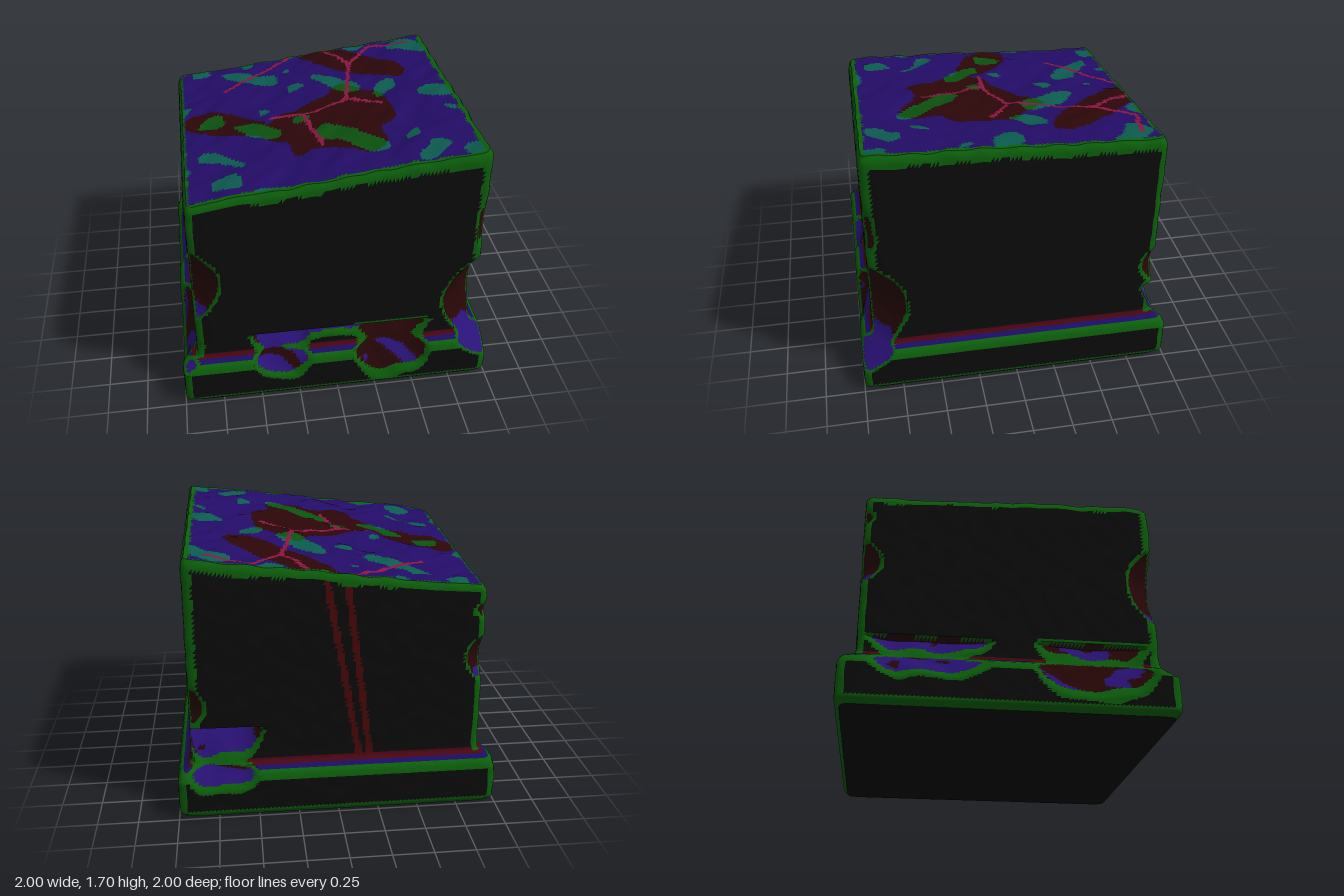
import * as THREE from 'three';
import { mergeVertices, toCreasedNormals } from 'three/addons/utils/BufferGeometryUtils.js';

const N = 80;
const COLORS = {
  wall: 0x0c0c0c, wornEdge: 0x0c600c, coveUpper: 0x4a0612, coveLower: 0x1c0c66,
  chipSlope: 0x2a1278, chipSteep: 0x280607, topStone: 0x230c68, topMoss: 0x0c5c50,
  topDark: 0x2c0609, topGrass: 0x0c5210, cracks: 0x8a1540, backStreaks: 0x4c080a,
};

// Smooth repeatable noise, about -1 to 1
function noise(x, y, z) {
  const a = Math.sin(3.1 * y + 2.3 * z + 0.7), b = Math.sin(2.7 * z - 1.9 * x + 2.1), c = Math.sin(2.9 * x + 1.7 * y + 4.2);
  return (Math.sin(x * 5.1 + 2 * a) + Math.sin(y * 4.7 + 2 * b) + Math.sin(z * 5.3 + 2 * c)) / 3;
}

// Height of the tilted, broken top
function topHeight(x, z) {
  const u = (x + 1) / 2, v = (z + 1) / 2;
  const back = 1.42 + 0.22 * u, front = 1.48 + 0.22 * u;
  return back + (front - back) * v + 0.014 * noise(x * 2, 3, z * 2) + 0.009 * noise(x * 5, 1, z * 5);
}

// Wall profile from ground to top: row fraction, inset, height (height below the top when negative)
const PROFILE = [
  [0, 0.03, 0], [0.04, 0, 0.035], [0.28, 0, 0.25], [0.32, 0.015, 0.29], [0.38, 0.085, 0.335],
  [0.42, 0.09, 0.37], [0.52, 0.09, 0.5], [0.97, 0.09, -0.03], [1, 0.11, -0.0001],
];
function profileAt(t, top) {
  let i = 0;
  while (i < PROFILE.length - 2 && t > PROFILE[i + 1][0]) i++;
  const a = PROFILE[i], b = PROFILE[i + 1], k = (t - a[0]) / (b[0] - a[0]);
  const y = (p) => (p[2] < 0 ? top + p[2] : p[2]);
  return [a[1] + (b[1] - a[1]) * k, y(a) + (y(b) - y(a)) * k];
}

// Chips along the upright edges: x sign, z sign, middle height, half height, x + z left at the deepest point
const EDGE_CHIPS = [
  [1, 1, 0.6, 0.36, 1.6], [1, 1, 1.17, 0.24, 1.77], [-1, 1, 0.9, 0.3, 1.64], [-1, 1, 0.42, 0.1, 1.77],
  [-1, -1, 0.96, 0.2, 1.68], [-1, -1, 1.27, 0.09, 1.73], [1, -1, 0.72, 0.17, 1.72],
];
// Scoops over the plinth ledge: axis, side, middle, half width, ledge height, deepest distance, slope
const SCOOPS = [
  ['z', 1, -0.36, 0.25, 0.46, 0.82, 0.6], ['z', 1, 0.36, 0.31, 0.47, 0.84, 0.4],
  ['z', 1, 0.08, 0.72, 0.46, 0.87, 0.8], ['z', -1, 0.72, 0.32, 0.56, 0.77, 0.6],
  ['x', -1, -0.48, 0.48, 0.46, 0.83, 0.6], ['x', -1, 0.5, 0.46, 0.47, 0.84, 0.42],
];

// Cuts the chips out of a point and returns the signed cut depth
function cutChips(p) {
  let depth = -1;
  const rough = 0.012 * noise(p.x * 4, p.y * 4, p.z * 4);
  for (const [sx, sz, mid, half, left] of EDGE_CHIPS) {
    if (p.x * sx < 0.3 || p.z * sz < 0.3) continue;
    const over = p.x * sx + p.z * sz - (left + (1.835 - left) * ((p.y - mid) / half) ** 2 + rough);
    depth = Math.max(depth, over);
    if (over > 0) { p.x -= sx * over / 2; p.z -= sz * over / 2; }
  }
  for (const [axis, side, mid, half, top, deep, slope] of SCOOPS) {
    const u = (p[axis === 'z' ? 'x' : 'z'] - mid) / half;
    const limit = deep + slope * Math.max(0, top - p.y) + (1.01 - deep) * u ** 4 + rough;
    const over = p[axis] * side - limit;
    if (p.y < top) {
      depth = Math.max(depth, over);
      if (over > 0) p[axis] = side * limit;
    } else if (p.y < top + 0.03 && over > 0) depth = Math.max(depth, 0.001);
  }
  return depth;
}

function blockGeometry() {
  const box = new THREE.BoxGeometry(2, 2, 2, N, N, N);
  box.deleteAttribute('normal');
  box.deleteAttribute('uv');
  const geo = mergeVertices(box, 1e-4);
  const pos = geo.attributes.position, cut = new Float32Array(pos.count), p = new THREE.Vector3();
  for (let i = 0; i < pos.count; i++) {
    p.fromBufferAttribute(pos, i);
    const t = (p.y + 1) / 2, [inset, y] = profileAt(t, topHeight(p.x, p.z));
    const h = 1 - inset, r = 0.04;
    p.set(p.x * h, y, p.z * h);
    // Rounded upright corners
    const dx = Math.abs(p.x) - (h - r), dz = Math.abs(p.z) - (h - r);
    if (dx > 0 && dz > 0) {
      const k = Math.max(dx, dz) / Math.hypot(dx, dz);
      p.x = Math.sign(p.x) * (h - r + dx * k);
      p.z = Math.sign(p.z) * (h - r + dz * k);
    }
    // Slight wear, strongest at the edges
    const corner = Math.abs(p.x) > h - 0.07 && Math.abs(p.z) > h - 0.07;
    const wear = 1 - (corner || t > 0.96 ? 0.008 : 0.002) * (1 + noise(p.x * 7, p.y * 7, p.z * 7)) / 2;
    p.x = p.x * wear + (y > 0.33 ? 0.008 : 0);
    p.z = p.z * wear + (y > 0.33 ? 0.008 : 0);
    cut[i] = cutChips(p);
    pos.setXYZ(i, p.x, p.y, p.z);
  }
  geo.setAttribute('cut', new THREE.BufferAttribute(cut, 1));
  return toCreasedNormals(geo, 0.7);
}

// Crack lines: on the top as x, z pairs; on the back as x, y pairs
const TOP_CRACKS = [
  [-0.57, -0.5, -0.1, -0.86], [0.18, -0.86, 0.32, -0.6], [0.5, -0.83, 0.32, -0.6], [0.5, -0.83, 0.78, -0.77],
  [0.32, -0.6, 0.21, -0.07], [0.21, -0.07, 0.42, 0.07], [0.21, -0.07, -0.1, 0.05], [-0.1, 0.05, -0.3, 0.04], [-0.1, 0.05, -0.02, 0.45],
];
const BACK_STREAKS = [[0.08, 1.55, -0.13, 0.36], [-0.05, 1.5, -0.2, 0.36]];
function nearLine(lines, a, b, width) {
  return lines.some(([x0, y0, x1, y1]) => {
    const dx = x1 - x0, dy = y1 - y0;
    const k = THREE.MathUtils.clamp(((a - x0) * dx + (b - y0) * dy) / (dx * dx + dy * dy), 0, 1);
    return Math.hypot(a - x0 - k * dx, b - y0 - k * dy) < width;
  });
}

// Which part a small patch of the surface belongs to
function partAt(c, n, cut) {
  const ax = Math.abs(c.x), az = Math.abs(c.z), top = topHeight(c.x, c.z);
  if (n.y < -0.8 && c.y < 0.02) return 'wall';
  if (c.y > top - 0.06) {
    if (Math.max(ax, az) > 0.865) return 'wornEdge';
    if (nearLine(TOP_CRACKS, c.x, c.z, 0.014)) return 'cracks';
    const patch = noise(c.x * 3.1, 2, c.z * 3.1), spot = noise(c.x * 0.9 + 1, 5, c.z * 0.9);
    const dark = Math.hypot(c.x - 0.08, c.z - 0.2) < 0.4 + 0.12 * patch || spot > 0.55;
    if (patch > 0.42) return dark ? 'topGrass' : 'topMoss';
    return dark ? 'topDark' : 'topStone';
  }
  if (cut > 0.022) return n.y > 0.42 ? 'chipSlope' : 'chipSteep';
  if (cut > -0.012) return 'wornEdge';
  const h = c.y > 0.33 ? 0.91 : 1;
  if (ax > h - 0.055 && az > h - 0.055) return 'wornEdge';
  if (c.y < 0.05 || (c.y > 0.245 && c.y < 0.3)) return 'wornEdge';
  if (c.y >= 0.3 && c.y < 0.355) return c.y < 0.325 ? 'coveLower' : 'coveUpper';
  if (n.z < -0.7 && c.y > 0.35 && nearLine(BACK_STREAKS, c.x, c.y, 0.02)) return 'backStreaks';
  return 'wall';
}

export function createModel() {
  const group = new THREE.Group();
  group.name = 'brokenStoneBlock';
  const geo = blockGeometry();
  const { position, normal, cut } = geo.attributes;
  const parts = {};
  const c = new THREE.Vector3(), n = new THREE.Vector3(), v = new THREE.Vector3();
  // Sort the surface patches into the coloured parts
  for (let i = 0; i < position.count; i += 3) {
    c.set(0, 0, 0);
    n.set(0, 0, 0);
    let depth = 0;
    for (let j = i; j < i + 3; j++) {
      c.add(v.fromBufferAttribute(position, j));
      n.add(v.fromBufferAttribute(normal, j));
      depth += cut.getX(j) / 3;
    }
    const name = partAt(c.divideScalar(3), n.normalize(), depth);
    const part = (parts[name] ??= { p: [], n: [] });
    for (let j = i; j < i + 3; j++) {
      part.p.push(position.getX(j), position.getY(j), position.getZ(j));
      part.n.push(normal.getX(j), normal.getY(j), normal.getZ(j));
    }
  }
  for (const [name, part] of Object.entries(parts)) {
    const g = new THREE.BufferGeometry();
    g.setAttribute('position', new THREE.Float32BufferAttribute(part.p, 3));
    g.setAttribute('normal', new THREE.Float32BufferAttribute(part.n, 3));
    const mesh = new THREE.Mesh(g, new THREE.MeshStandardMaterial({ color: COLORS[name] }));
    mesh.name = name;
    group.add(mesh);
  }
  return group;
}
